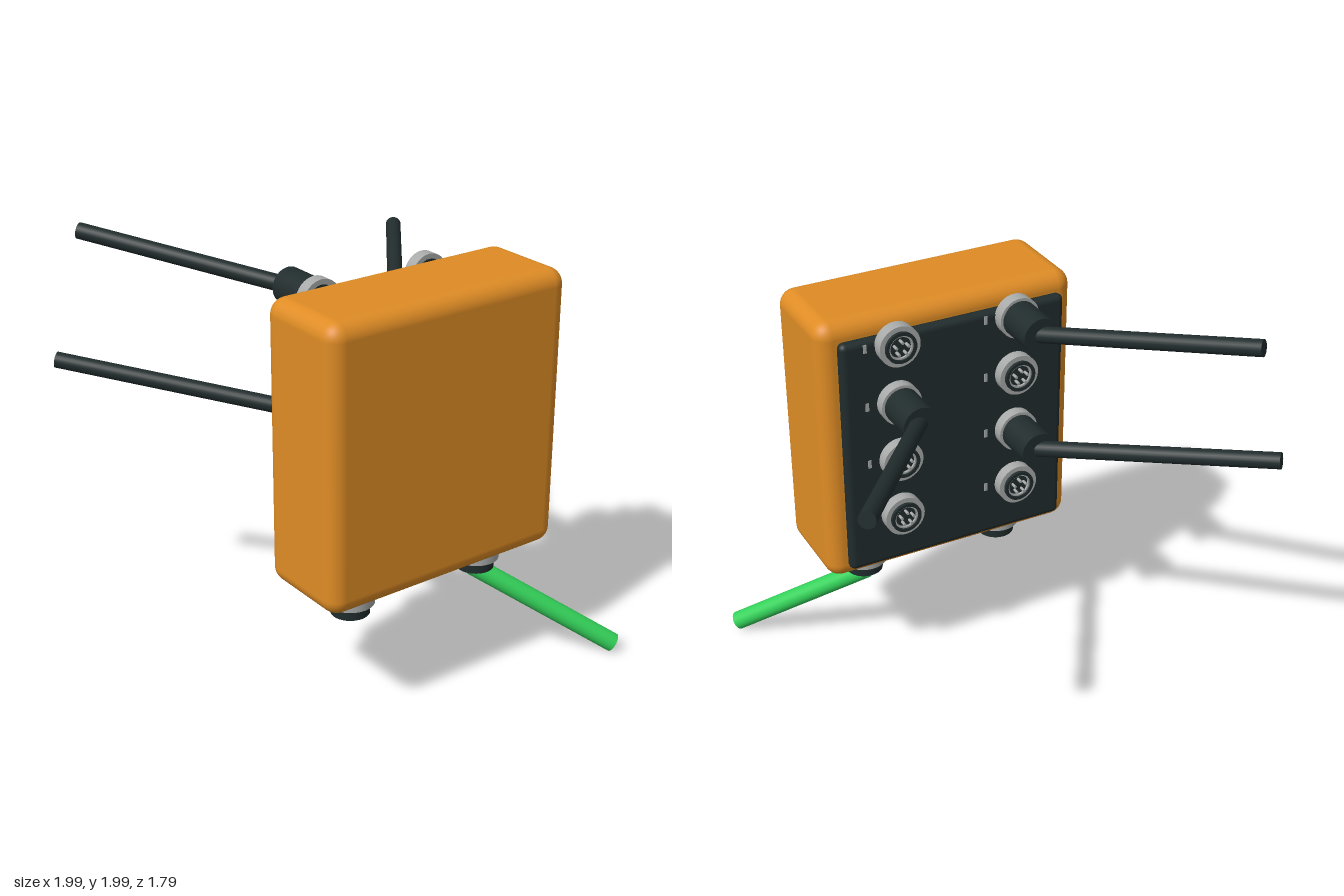
import * as THREE from 'three';
import { RoundedBoxGeometry } from 'three/addons/geometries/RoundedBoxGeometry.js';

const mat = (name, color) => {
  const m = new THREE.MeshStandardMaterial({ color });
  m.name = name;
  return m;
};

export function createModel() {
  const orange = mat('orange housing', 0xdf8c25);
  const dark = mat('dark plastic', 0x212c2d);
  const grey = mat('grey metal', 0xa8aaaa);
  const green = mat('green cable', 0x34d25a);

  const model = new THREE.Group();
  model.name = 'junctionBox';

  const add = (parent, name, geometry, material, x = 0, y = 0, z = 0) => {
    const mesh = new THREE.Mesh(geometry, material);
    mesh.name = name;
    mesh.position.set(x, y, z);
    parent.add(mesh);
    return mesh;
  };

  // Cylinder along y between two heights
  const disc = (parent, name, r, y0, y1, material, x = 0, z = 0, sides = 32) =>
    add(parent, name, new THREE.CylinderGeometry(r, r, y1 - y0, sides), material, x, (y0 + y1) / 2, z);

  // Tube ring along y with a square cross-section
  const ring = (parent, name, rIn, rOut, y0, y1, material) => {
    const shape = new THREE.Shape().absarc(0, 0, rOut, 0, Math.PI * 2);
    shape.holes.push(new THREE.Path().absarc(0, 0, rIn, 0, Math.PI * 2, true));
    const geometry = new THREE.ExtrudeGeometry(shape, { depth: y1 - y0, bevelEnabled: false, curveSegments: 32 });
    geometry.rotateX(-Math.PI / 2);
    return add(parent, name, geometry, material, 0, y0, 0);
  };

  // Straight round cable between two points
  const cable = (name, from, to, r, material) => {
    const a = new THREE.Vector3(...from), b = new THREE.Vector3(...to);
    const d = b.clone().sub(a);
    const mesh = add(model, name, new THREE.CylinderGeometry(r, r, d.length(), 24), material);
    mesh.position.copy(a).add(b).multiplyScalar(0.5);
    mesh.quaternion.setFromUnitVectors(new THREE.Vector3(0, 1, 0), d.normalize());
  };

  // Housing and rear connector panel
  add(model, 'housing', new RoundedBoxGeometry(1.25, 1.31, 0.48, 5, 0.075), orange, 0.075, 1.255, 0.45);
  add(model, 'rearPanel', new RoundedBoxGeometry(1.09, 1.16, 0.06, 4, 0.029), dark, 0.075, 1.255, 0.18);

  // Rear ports: local +y points out of the panel towards -z
  const columns = [-0.215, 0.365];
  const rows = [1.8, 1.515, 1.225, 0.935];
  const cableEnds = {
    '0,0': [-0.81, 1.96, -0.87],
    '1,1': [0.96, 1.67, -0.87],
    '0,2': [-0.965, 1.38, -0.87],
  };
  columns.forEach((x, c) => rows.forEach((y, r) => {
    const port = new THREE.Group();
    port.position.set(x, y, 0.15);
    port.rotation.x = -Math.PI / 2;
    model.add(port);
    const end = cableEnds[`${c},${r}`];

    ring(port, 'portFlange', 0.072, 0.096, -0.005, 0.052, grey);
    if (end) {
      port.name = 'pluggedPort';
      disc(port, 'plug', 0.083, 0.03, 0.245, dark);
      cable('rearCable', [x, y, -0.075], end, 0.037, dark);
    } else {
      port.name = 'openPort';
      ring(port, 'socketSleeve', 0.058, 0.073, -0.005, 0.068, dark);
      ring(port, 'socketLiner', 0.05, 0.059, -0.005, 0.06, grey);
      disc(port, 'socketInsert', 0.051, -0.005, 0.05, dark);
      // Contact pins
      for (let i = 0; i < 5; i++) {
        const a = (i / 5) * Math.PI * 2;
        disc(port, 'contactPin', 0.007, 0.045, 0.08, grey, Math.sin(a) * 0.03, Math.cos(a) * 0.03, 8);
      }
    }
    // Blank marker strip beside the port
    add(model, 'portMarker', new THREE.BoxGeometry(0.016, 0.04, 0.004), grey, x + 0.143, y, 0.149);
  }));

  // Glands under the housing
  for (const x of [-0.285, 0.43]) {
    const gland = new THREE.Group();
    gland.name = 'bottomGland';
    gland.position.set(x, 0, 0.455);
    model.add(gland);
    disc(gland, 'glandNeck', 0.086, 0.57, 0.62, dark);
    disc(gland, 'glandNut', 0.11, 0.51, 0.58, grey);
    disc(gland, 'glandCap', 0.088, 0.458, 0.52, dark);
  }
  cable('greenCable', [0.425, 0.452, 0.44], [0.962, 0.045, 0.857], 0.045, green);

  return model;
}
